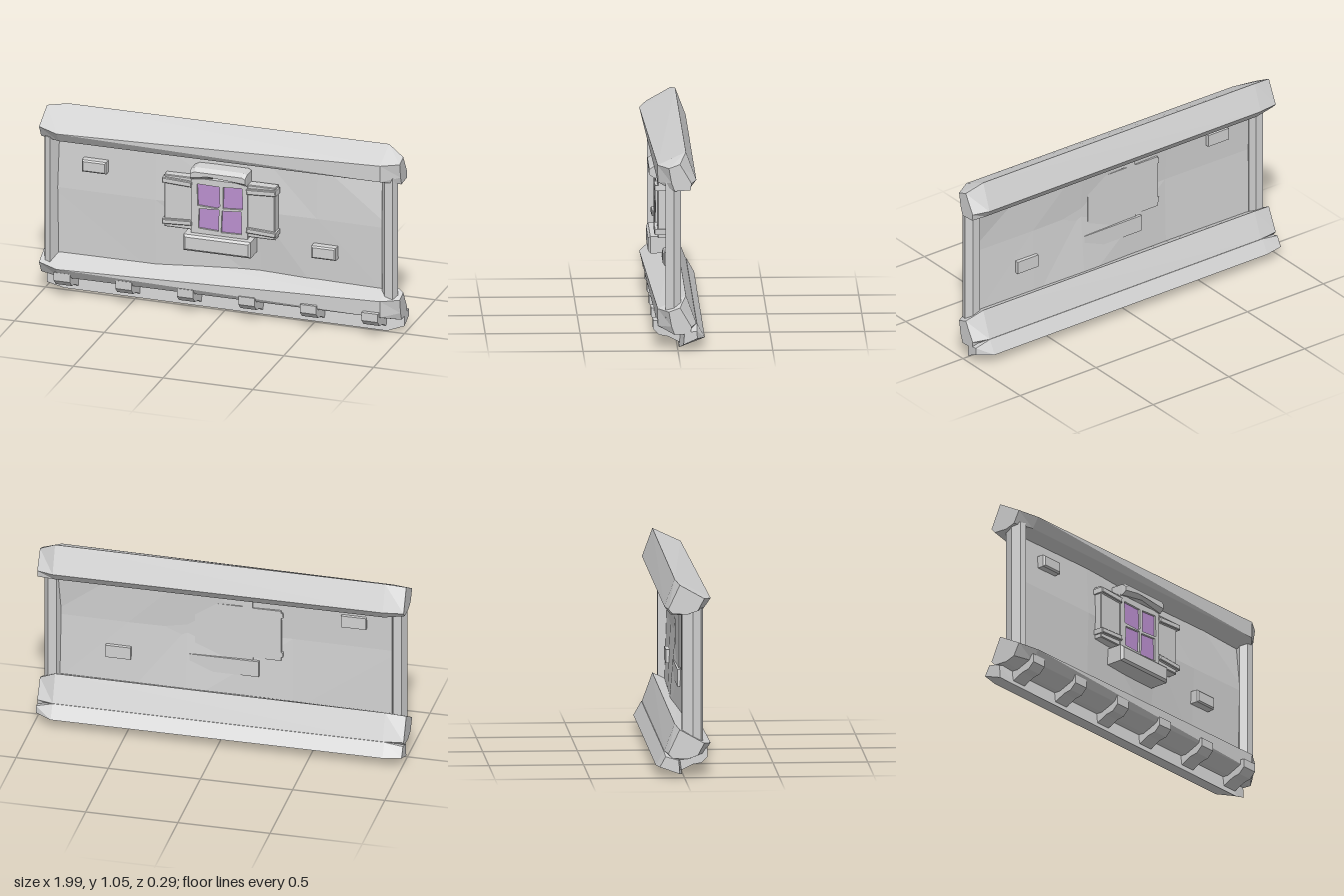
import * as THREE from 'three';

const stone = new THREE.MeshStandardMaterial({ color: 0xd2d2d2 });
stone.name = 'palePlaster';
const sheet = new THREE.MeshStandardMaterial({ color: 0xd2d2d2, side: THREE.DoubleSide });
sheet.name = 'palePlasterSheet';
const glass = new THREE.MeshStandardMaterial({ color: 0xbb90d0 });
glass.name = 'violetGlass';

// Flat-faced solid through cross-sections (each clockwise seen from the far end)
function loft(sections) {
  const pos = [];
  const tri = (a, b, c) => pos.push(...a, ...b, ...c);
  const n = sections[0].length;
  for (let s = 0; s + 1 < sections.length; s++) {
    const p = sections[s], q = sections[s + 1];
    for (let j = 0; j < n; j++) {
      const k = (j + 1) % n;
      tri(p[j], q[j], p[k]);
      tri(q[j], q[k], p[k]);
    }
  }
  const first = sections[0], last = sections[sections.length - 1];
  for (let j = 1; j + 1 < n; j++) {
    tri(first[0], first[j], first[j + 1]);
    tri(last[0], last[j + 1], last[j]);
  }
  const g = new THREE.BufferGeometry();
  g.setAttribute('position', new THREE.Float32BufferAttribute(pos, 3));
  g.computeVertexNormals();
  return g;
}

// Section across x, given as [z, y] pairs
const across = (x, pts) => pts.map(([z, y]) => [x, y, z]);

// Block whose front face is inset by a bevel
function block(x0, x1, y0, y1, z0, z1, b = 0.008) {
  const rect = (i, z) => [[x0 + i, y1 - i, z], [x1 - i, y1 - i, z], [x1 - i, y0 + i, z], [x0 + i, y0 + i, z]];
  return loft([rect(0, z0), rect(0, z1 - b), rect(b, z1)]);
}

export function createModel() {
  const model = new THREE.Group();
  const add = (name, geometry, material = stone, parent = model) => {
    const m = new THREE.Mesh(geometry, material);
    m.name = name;
    parent.add(m);
    return m;
  };

  // Top and middle beams: the same worn timber, chamfered at both ends
  const beam = loft([
    across(-1, [[-0.025, 1.028], [-0.085, 0.9], [-0.062, 0.875], [0.017, 0.872], [0.07, 0.89], [0.105, 0.955]]),
    across(-0.89, [[-0.045, 1.044], [-0.1, 0.9], [-0.067, 0.856], [0.017, 0.852], [0.107, 0.887], [0.145, 0.942]]),
    across(0.9, [[-0.045, 1.05], [-0.1, 0.9], [-0.067, 0.856], [0.017, 0.852], [0.103, 0.889], [0.104, 0.98]]),
    across(0.99, [[-0.011, 1.0], [-0.072, 0.897], [-0.067, 0.861], [0.017, 0.856], [0.033, 0.9], [0.047, 0.978]]),
  ]);
  add('topBeam', beam);
  add('middleBeam', beam).position.y = -0.77;

  // Tilted board along the foot
  add('footBoard', loft([
    across(-1, [[-0.1, 0.115], [-0.13, 0.06], [-0.025, 0.022], [-0.03, 0.095]]),
    across(-0.9, [[-0.103, 0.13], [-0.145, 0.055], [-0.008, 0.008], [-0.02, 0.115]]),
    across(0.9, [[-0.103, 0.13], [-0.145, 0.055], [-0.008, 0.002], [-0.02, 0.115]]),
    across(0.99, [[-0.1, 0.105], [-0.103, 0.065], [-0.03, 0.032], [-0.035, 0.095]]),
  ]));

  // Row of joist ends
  const joist = [[-0.03, 0.148], [-0.01, 0.03], [0.05, 0.06], [0.095, 0.068], [0.128, 0.1], [0.128, 0.146]];
  for (let i = 0; i < 6; i++) {
    const x = -0.865 + i * 0.343;
    add('joistEnd', loft([across(x - 0.045, joist), across(x + 0.045, joist)]));
  }

  // End pillars, sections given as [x, z] pairs
  const upright = (pts, y) => pts.map(([x, z]) => [x, y, z]);
  const leftPts = [[0.885, 0.03], [0.9, -0.017], [0.945, -0.017], [0.972, 0.02], [0.955, 0.063], [0.912, 0.063]];
  const rightPts = [[-0.99, 0.045], [-0.97, -0.012], [-0.925, -0.012], [-0.91, 0.03], [-0.94, 0.102], [-0.972, 0.09]];
  for (const [name, pts] of [['leftPillar', leftPts], ['rightPillar', rightPts]])
    add(name, loft([upright(pts, 0.17), upright(pts, 0.9)]));

  // Uneven wall sheet
  const xs = [-0.95, -0.37, 0.2, 0.52, 0.94];
  const rows = [
    [0.18, [0.037, 0.04, -0.006, 0.008, 0.017]],
    [0.6, [0.045, 0.05, 0.03, 0.025, 0.03]],
    [0.92, [0.03, 0.035, 0.005, 0.012, -0.012]],
  ];
  const wall = [];
  for (let r = 0; r < 2; r++)
    for (let c = 0; c < 4; c++) {
      const p = (i, j) => [xs[c + i], rows[r + j][0], rows[r + j][1][c + i]];
      wall.push(...p(0, 0), ...p(1, 0), ...p(0, 1), ...p(1, 0), ...p(1, 1), ...p(0, 1));
    }
  const wallGeo = new THREE.BufferGeometry();
  wallGeo.setAttribute('position', new THREE.Float32BufferAttribute(wall, 3));
  wallGeo.computeVertexNormals();
  add('wall', wallGeo, sheet);

  // Loose bricks
  add('upperBrick', block(-0.77, -0.635, 0.72, 0.787, 0.02, 0.085));
  add('lowerBrick', block(0.502, 0.638, 0.39, 0.46, 0.0, 0.068));

  // Window: pierced frame over a back plate, with four crooked panes
  const win = new THREE.Group();
  win.name = 'window';
  model.add(win);
  const panes = [
    [[-0.125, 0.74], [0, 0.737], [0.003, 0.628], [-0.012, 0.613], [-0.12, 0.618]],
    [[0.022, 0.738], [0.127, 0.745], [0.13, 0.625], [0.02, 0.617]],
    [[-0.113, 0.6], [-0.002, 0.607], [-0.005, 0.485], [-0.117, 0.49]],
    [[0.015, 0.603], [0.122, 0.611], [0.125, 0.483], [0.01, 0.48]],
  ].map((pts) => pts.map((p) => new THREE.Vector2(...p)));
  const frame = new THREE.Shape([[-0.157, 0.46], [0.157, 0.46], [0.157, 0.772], [-0.157, 0.772]].map((p) => new THREE.Vector2(...p)));
  frame.holes = panes.map((p) => new THREE.Path(p));
  const frameGeo = new THREE.ExtrudeGeometry(frame, { depth: 0.04, bevelEnabled: false });
  add('windowFrame', frameGeo.translate(0, 0, 0.052), stone, win);
  add('windowBack', block(-0.157, 0.157, 0.46, 0.772, 0.025, 0.056, 0), stone, win);
  for (const p of panes) {
    const g = new THREE.ExtrudeGeometry(new THREE.Shape(p), { depth: 0.006, bevelEnabled: false });
    add('windowPane', g.translate(0, 0, 0.074), glass, win);
  }
  add('windowSill', block(-0.19, 0.185, 0.367, 0.458, 0.015, 0.132, 0.012), stone, win);

  // Arched lintel with a sloping top
  const lintel = (s, z, top, low) => [
    [-0.155 * s, top - 0.012, z], [-0.13 * s, top, z], [0.14 * s, top, z], [0.157 * s, top - 0.01, z],
    [0.157 * s, low, z], [0.005, low + 0.025, z], [-0.155 * s, low, z],
  ];
  add('windowLintel', loft([lintel(1, 0.025, 0.838, 0.765), lintel(1, 0.1, 0.838, 0.765), lintel(0.98, 0.126, 0.82, 0.785)]), stone, win);

  // Shutters with two battens each
  for (const s of [-1, 1]) {
    const shutter = new THREE.Group();
    shutter.name = s > 0 ? 'leftShutter' : 'rightShutter';
    win.add(shutter);
    const span = (a, b) => (s > 0 ? [a, b] : [-b, -a]);
    add('shutterPanel', block(...span(0.15, 0.308), 0.472, 0.768, 0.028, 0.085, 0.004), stone, shutter);
    for (const [y, h] of [[0.737, 0.03], [0.51, 0.028]]) {
      const batten = add('shutterBatten', block(-0.082, 0.082, -h / 2, h / 2, 0.03, 0.103, 0.004), stone, shutter);
      batten.position.set(s * 0.235, y, 0);
      batten.rotation.z = 0.05 * (y > 0.6 ? s : -s);
    }
  }
  return model;
}
